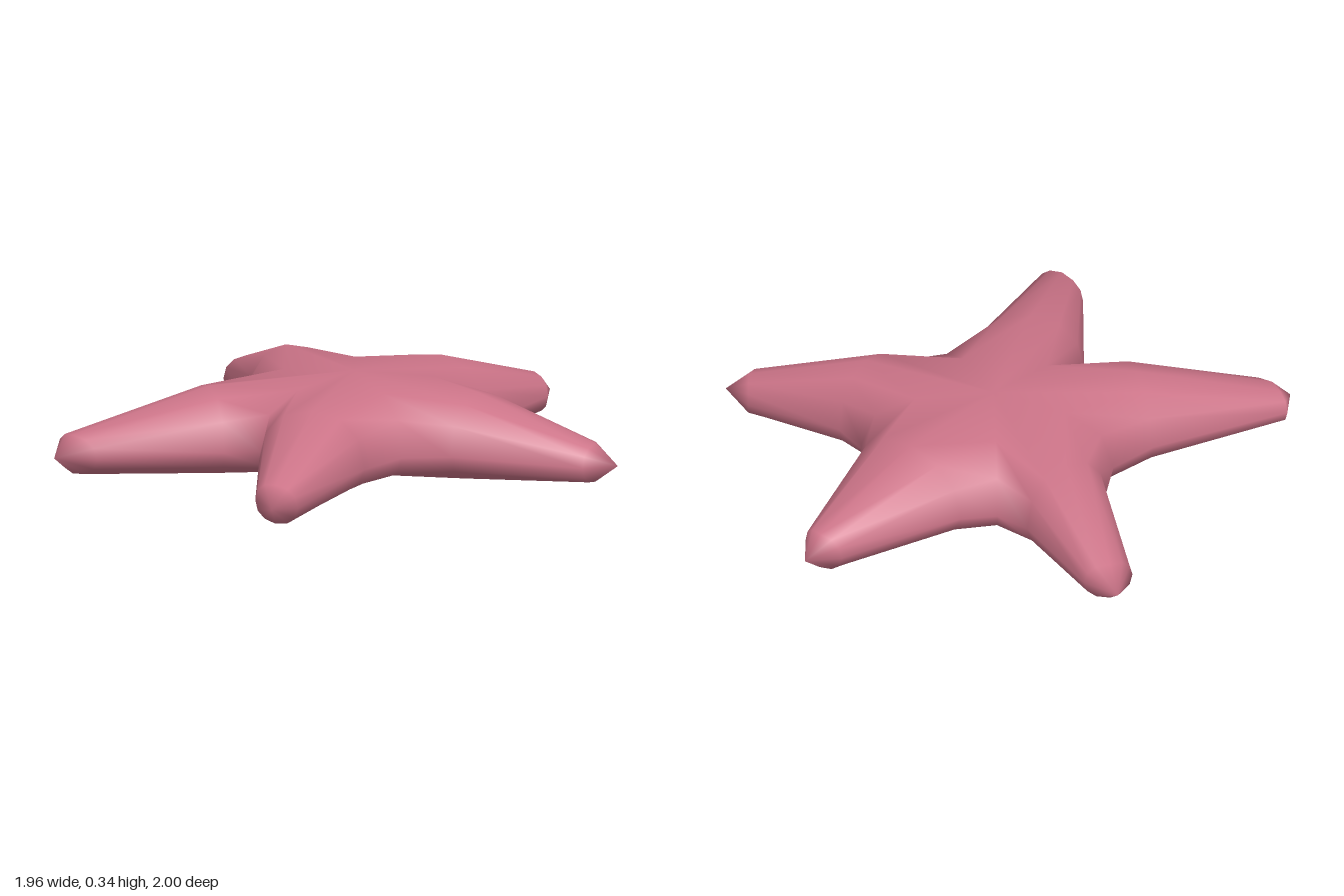
import * as THREE from 'three';
import { mergeVertices } from 'three/addons/utils/BufferGeometryUtils.js';

const SEG = 12;

// One closed cross-section from side point a over the ridge c to side point b and back underneath.
function section(a, c, b, mid, top, bottom, power) {
  const points = [];
  for (let i = 0; i <= SEG; i++) {
    const t = (i / SEG) * Math.PI * 2;
    const cos = Math.cos(t), sin = Math.sin(t);
    const side = cos >= 0 ? a : b;
    const k = Math.abs(cos) < 1e-6 ? 0 : Math.abs(cos) ** power;
    const h = Math.abs(sin) < 1e-6 ? 0 : Math.abs(sin) ** power;
    points.push([
      c[0] + (side[0] - c[0]) * k,
      mid + (sin > 0 ? top - mid : bottom - mid) * h,
      c[1] + (side[1] - c[1]) * k,
    ]);
  }
  return points;
}

const middle = (a, b) => [(a[0] + b[0]) / 2, (a[1] + b[1]) / 2];

// Each arm as [x, z]: valleys, root sides, end sides (right, left looking outward), and the tip.
const backRight = [0.34, -0.34], backLeft = [-0.34, -0.34];
const sideRight = [0.43, 0.18], sideLeft = [-0.43, 0.18], front = [0, 0.48];
const arms = [
  { valley: [backRight, backLeft], root: [[0.25, -0.44], [-0.25, -0.44]], end: [[0.09, -0.9], [-0.09, -0.9]], tip: [0, -1] },
  { valley: [sideRight, backRight], root: [[0.53, 0.03], [0.47, -0.32]], end: [[0.93, -0.25], [0.84, -0.41]], tip: [0.98, -0.38] },
  { valley: [front, sideRight], root: [[0.09, 0.575], [0.44, 0.38]], end: [[0.42, 0.92], [0.62, 0.9]], tip: [0.55, 0.965] },
  { valley: [sideLeft, front], root: [[-0.44, 0.38], [-0.09, 0.575]], end: [[-0.62, 0.9], [-0.4, 0.92]], tip: [-0.54, 1] },
  { valley: [backLeft, sideLeft], root: [[-0.47, -0.32], [-0.53, 0.03]], end: [[-0.84, -0.41], [-0.93, -0.25]], tip: [-0.98, -0.38] },
];

export function createModel() {
  const group = new THREE.Group();
  group.name = 'starfish';
  const positions = [], index = [];

  // Loft every arm from the shared centre outward; neighbours meet along the valleys.
  for (const { valley, root, end, tip } of arms) {
    const start = positions.length / 3;
    const ridgeEnd = middle(middle(end[0], end[1]), end[0]);
    const centreEnd = middle(end[0], end[1]);
    ridgeEnd[0] = centreEnd[0] + (tip[0] - centreEnd[0]) * 0.2;
    ridgeEnd[1] = centreEnd[1] + (tip[1] - centreEnd[1]) * 0.2;
    const stations = [
      section(valley[0], [0, 0], valley[1], 0.12, 0.34, 0, 0.75),
      section(root[0], middle(root[0], root[1]), root[1], 0.115, 0.32, 0.005, 0.9),
      section(end[0], ridgeEnd, end[1], 0.095, 0.17, 0.025, 0.9),
      section(tip, tip, tip, 0.09, 0.09, 0.09, 1),
    ];
    stations.flat().forEach((p) => positions.push(...p));
    for (let j = 0; j < stations.length - 1; j++) {
      for (let i = 0; i < SEG; i++) {
        const a = start + j * (SEG + 1) + i, b = a + SEG + 1;
        index.push(a, b, a + 1);
        if (j < stations.length - 2) index.push(b, b + 1, a + 1);
      }
    }
  }

  let geometry = new THREE.BufferGeometry();
  geometry.setAttribute('position', new THREE.Float32BufferAttribute(positions, 3));
  geometry.setIndex(index);
  geometry = mergeVertices(geometry, 1e-4);
  geometry.computeVertexNormals();

  const body = new THREE.Mesh(geometry, new THREE.MeshStandardMaterial({ color: 0xcc7488 }));
  body.name = 'starBody';
  group.add(body);
  return group;
}
